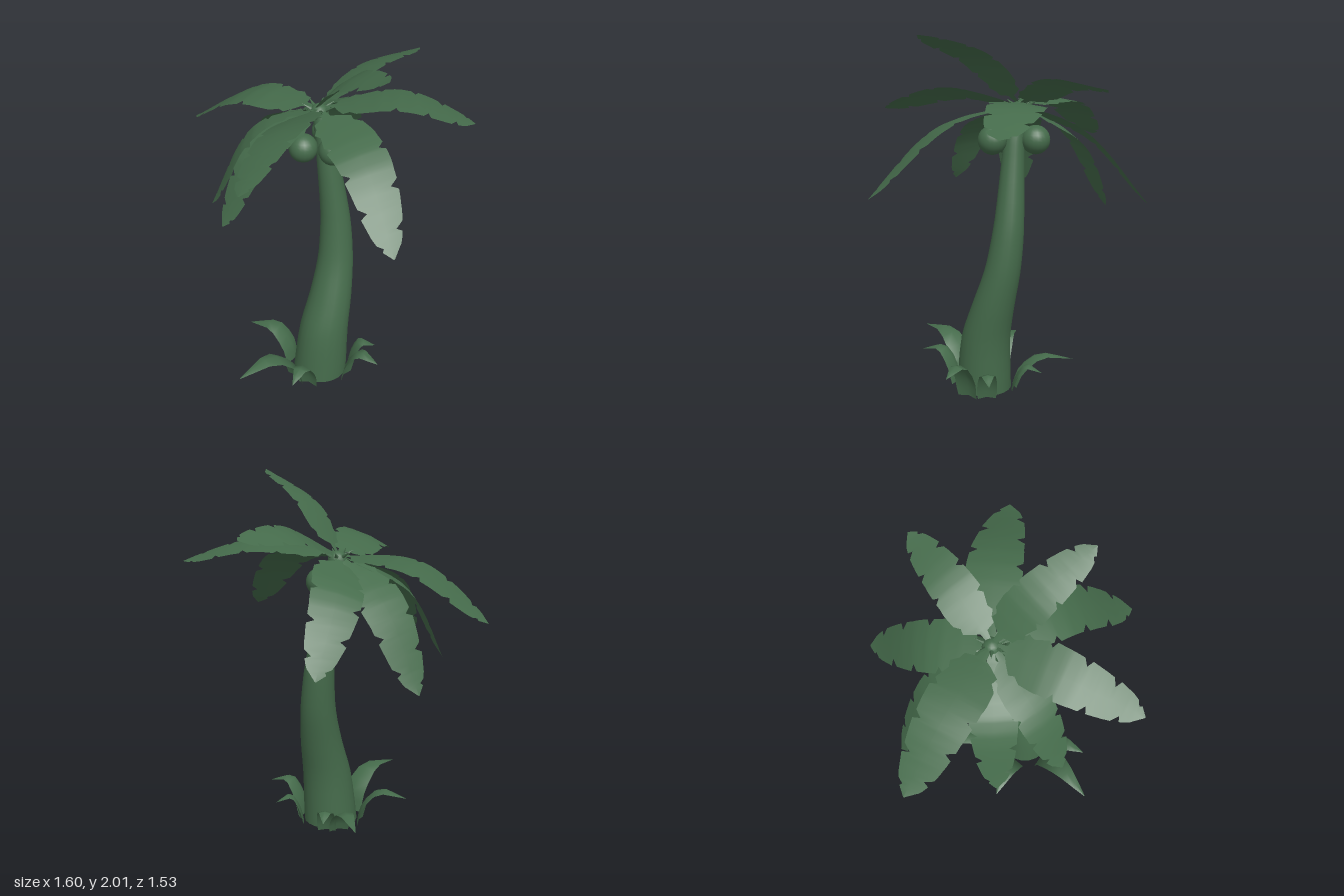
import * as THREE from 'three';
import { toCreasedNormals } from 'three/addons/utils/BufferGeometryUtils.js';

const V = (x, y, z) => new THREE.Vector3(x, y, z);
const green = new THREE.MeshStandardMaterial({ color: 0x456b4b });
const openGreen = new THREE.MeshStandardMaterial({ color: 0x456b4b, side: THREE.DoubleSide });

// Leaf blade: three points per row (left edge, midrib, right edge) along a curve.
// Each profile row is [t, left width, right width]; fold lifts (+) or drops (-) the
// edges; roll turns the blade about its midrib.
function blade(name, points, halfWidth, profile, fold, roll = 0, mirror = false) {
  const curve = new THREE.CatmullRomCurve3(points);
  const dir = points[points.length - 1].clone().sub(points[0]).setY(0).normalize();
  const across = V(0, 1, 0).cross(dir);
  const pos = [], index = [];
  profile.forEach(([t, a, b], i) => {
    const [l, r] = mirror ? [b, a] : [a, b];
    const p = curve.getPoint(t);
    const tangent = curve.getTangent(t);
    const side = across.clone().applyAxisAngle(tangent, roll);
    const normal = tangent.clone().cross(side).normalize();
    for (const w of [-l, 0, r]) {
      const q = p.clone().addScaledVector(side, w * halfWidth)
        .addScaledVector(normal, Math.abs(w) * halfWidth * fold);
      pos.push(q.x, q.y, q.z);
    }
    if (i > 0) {
      const n = i * 3, m = n - 3;
      for (const k of [0, 1]) {
        index.push(m + k, n + k, m + k + 1, m + k + 1, n + k, n + k + 1);
      }
    }
  });
  const geo = new THREE.BufferGeometry();
  geo.setAttribute('position', new THREE.Float32BufferAttribute(pos, 3));
  geo.setIndex(index);
  geo.computeVertexNormals();
  const mesh = new THREE.Mesh(geo, openGreen);
  mesh.name = name;
  return mesh;
}

// Torn outline of a palm frond
const frondProfile = [
  [0, 0.08, 0.08], [0.1, 0.2, 0.15], [0.12, 0.6, 0.4], [0.16, 0.66, 0.78],
  [0.2, 0.88, 0.72], [0.24, 0.78, 0.94], [0.33, 0.97, 1], [0.36, 0.78, 1],
  [0.38, 1.02, 0.98], [0.44, 1, 0.99], [0.47, 0.99, 0.74], [0.49, 0.98, 0.98],
  [0.55, 0.95, 0.96], [0.58, 0.68, 0.94], [0.6, 0.94, 0.92], [0.65, 0.89, 0.9],
  [0.68, 0.86, 0.6], [0.7, 0.84, 0.86], [0.74, 0.79, 0.82], [0.77, 0.5, 0.78],
  [0.79, 0.76, 0.76], [0.84, 0.66, 0.68], [0.87, 0.6, 0.38], [0.885, 0.57, 0.58],
  [0.92, 0.46, 0.48], [0.94, 0.25, 0.4], [0.955, 0.32, 0.3], [1, 0.02, 0.02],
];

// Smooth, gutter-shaped ground leaf
const groundProfile = [
  [0, 0.9, 0.9], [0.15, 1, 1], [0.3, 1, 1], [0.45, 0.95, 0.95], [0.6, 0.82, 0.82],
  [0.75, 0.6, 0.6], [0.88, 0.32, 0.32], [1, 0.02, 0.02],
];

// Trunk rows: height, centre x, centre z, radius
const trunkRows = [
  [0, 0.14, 0.085, 0.152], [0.3, 0.155, 0.065, 0.137], [0.5, 0.167, 0.012, 0.118],
  [0.7, 0.165, -0.043, 0.1], [0.85, 0.155, -0.065, 0.09], [1, 0.14, -0.075, 0.08],
  [1.3, 0.097, -0.073, 0.062], [1.45, 0.075, -0.074, 0.054], [1.58, 0.04, -0.082, 0.044],
];

function trunk() {
  const centre = new THREE.CatmullRomCurve3(trunkRows.map(([y, x, z]) => V(x, y, z)));
  const radius = new THREE.SplineCurve(trunkRows.map(([y, , , r]) => new THREE.Vector2(r, y)));
  const geo = new THREE.CylinderGeometry(1, 1, 1, 20, 24, true);
  const p = geo.attributes.position;
  for (let i = 0; i < p.count; i++) {
    const t = THREE.MathUtils.clamp(p.getY(i) + 0.5, 0, 1);
    const c = centre.getPoint(t), r = radius.getPoint(t).x;
    p.setXYZ(i, c.x + p.getX(i) * r, c.y, c.z + p.getZ(i) * r);
  }
  const mesh = new THREE.Mesh(toCreasedNormals(geo, Math.PI / 3), openGreen);
  mesh.name = 'trunk';
  return mesh;
}

export function createModel() {
  const palm = new THREE.Group();
  palm.name = 'palmTree';
  palm.add(trunk());

  // Fronds: middle point, tip, half width, roll
  const heart = V(0.03, 1.6, -0.08);
  const fronds = [
    [V(-0.4, 1.575, -0.12), V(-0.8, 1.31, -0.16), 0.153, 0],
    [V(-0.08, 1.46, -0.42), V(-0.09, 1.11, -0.77), 0.14, -0.38],
    [V(0.17, 1.75, -0.38), V(0.33, 1.76, -0.7), 0.118, -0.35],
    [V(0.43, 1.67, -0.26), V(0.8, 1.57, -0.36), 0.148, -0.07],
    [V(0.41, 1.53, 0.17), V(0.72, 1.18, 0.43), 0.14, 0.22],
    [V(0.02, 1.64, 0.33), V(0.05, 1.52, 0.76), 0.138, 0.38],
    [V(0.25, 1.86, 0.05), V(0.56, 2.0, 0.22), 0.118, 0.3],
    [V(-0.15, 1.43, 0.27), V(-0.24, 1.09, 0.47), 0.118, 0],
    [V(-0.29, 1.42, 0.09), V(-0.48, 1.01, 0.2), 0.128, 0],
    [V(-0.28, 1.39, -0.26), V(-0.5, 0.96, -0.37), 0.142, 0.2],
  ];
  const crown = new THREE.Group();
  crown.name = 'fronds';
  fronds.forEach(([mid, tip, w, roll], i) => {
    crown.add(blade('frond', [heart, mid, tip], w, frondProfile, -0.08, roll, i % 2 === 1));
  });
  palm.add(crown);

  // Bud with short stalks where the fronds meet
  const bud = new THREE.Mesh(new THREE.SphereGeometry(0.052, 14, 10), green);
  bud.name = 'crownBud';
  bud.position.set(0.035, 1.57, -0.083);
  palm.add(bud);
  for (let i = 0; i < 7; i++) {
    const a = (i / 7) * Math.PI * 2;
    const stalk = new THREE.Mesh(new THREE.ConeGeometry(0.018, 0.09, 6), green);
    const out = V(Math.cos(a), 0.6, Math.sin(a)).normalize();
    stalk.name = 'stalk';
    stalk.quaternion.setFromUnitVectors(V(0, 1, 0), out);
    stalk.position.copy(bud.position).addScaledVector(out, 0.06);
    palm.add(stalk);
  }

  // Coconuts
  for (const [x, y, z] of [[-0.005, 1.4, 0.02], [0.168, 1.425, 0.012], [0.03, 1.42, -0.175]]) {
    const nut = new THREE.Mesh(new THREE.SphereGeometry(0.078, 20, 14), green);
    nut.name = 'coconut';
    nut.position.set(x, y, z);
    palm.add(nut);
  }

  // Ground leaves: tip, half width
  const groundLeaves = [
    [V(-0.09, 0.2, 0.6), 0.075], [V(0.17, 0.16, 0.47), 0.06],
    [V(0.52, 0.18, 0.11), 0.065], [V(0.41, 0.13, -0.09), 0.055],
    [V(0.07, 0.11, -0.24), 0.055], [V(-0.15, 0.13, -0.33), 0.06],
    [V(-0.31, 0.17, 0.11), 0.07],
  ];
  const skirt = new THREE.Group();
  skirt.name = 'groundLeaves';
  for (const [tip, w] of groundLeaves) {
    const foot = V(0.14, 0, 0.085);
    const out = tip.clone().sub(foot).setY(0);
    const reach = out.length();
    out.normalize();
    const at = (d, y) => foot.clone().addScaledVector(out, d).setY(y);
    const rest = reach - 0.16;
    const path = [at(0.16, 0), at(0.165 + rest * 0.08, tip.y * 0.62),
      at(0.16 + rest * 0.45, tip.y + 0.04), tip];
    skirt.add(blade('groundLeaf', path, w, groundProfile, -0.3));
  }
  palm.add(skirt);
  return palm;
}
